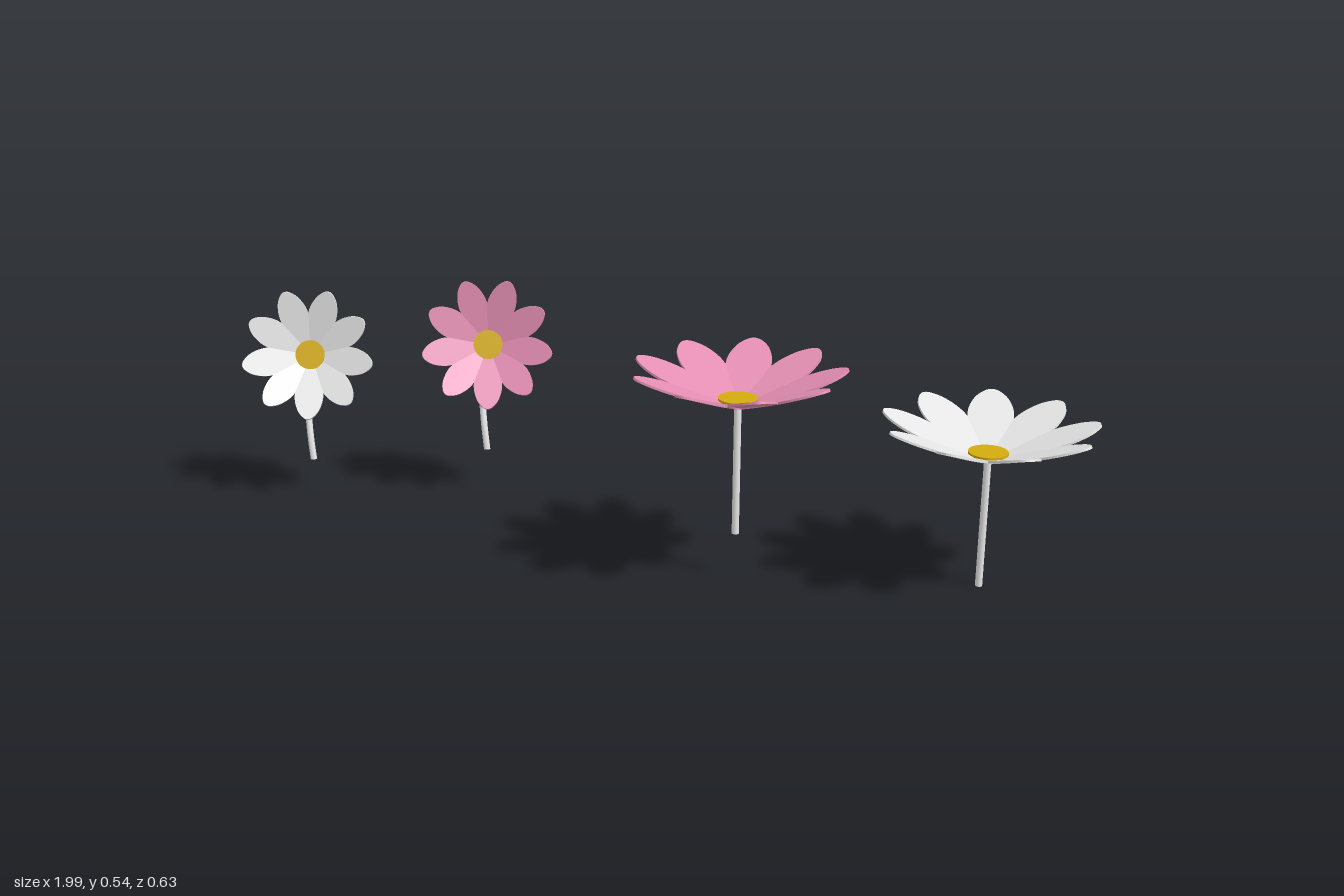
import * as THREE from 'three';

const white = new THREE.MeshStandardMaterial({ color: 0xe6e6e6 });
white.name = 'white';
const pink = new THREE.MeshStandardMaterial({ color: 0xe58fb4 });
pink.name = 'pink';
const yellow = new THREE.MeshStandardMaterial({ color: 0xd4ac0d });
yellow.name = 'yellow';

const PETALS = 9;
const PETAL_TILT = 0.36;
const STEM_RADIUS = 0.008;

function mesh(name, geometry, material) {
  const m = new THREE.Mesh(geometry, material);
  m.name = name;
  return m;
}

// Rounded petal along +x, widest towards the tip
function petalGeometry(scale) {
  const side = [[0.015, 0.014], [0.06, 0.032], [0.12, 0.046], [0.17, 0.05], [0.215, 0.038], [0.242, 0.018]];
  const lower = side.map(([x, y]) => new THREE.Vector2(x, -y));
  const upper = side.map(([x, y]) => new THREE.Vector2(x, y)).reverse();
  const shape = new THREE.Shape();
  shape.moveTo(0, 0);
  shape.splineThru([...lower, new THREE.Vector2(0.25, 0), ...upper, new THREE.Vector2(0, 0)]);
  const g = new THREE.ExtrudeGeometry(shape, { depth: 0.005, bevelEnabled: false, curveSegments: 32 });
  return g.scale(scale, scale, 1);
}

// Flower head opening along local +z
function flowerHead(material, petalScale, discScale, startAngle) {
  const head = new THREE.Group();
  head.name = 'flowerHead';
  const geometry = petalGeometry(petalScale);
  for (let i = 0; i < PETALS; i++) {
    const petal = mesh('petal', geometry, material);
    petal.rotation.set(0, -PETAL_TILT, startAngle + (i / PETALS) * Math.PI * 2, 'ZYX');
    head.add(petal);
  }
  const disc = mesh('flowerCentre', new THREE.CylinderGeometry(0.043, 0.043, 0.01, 32), yellow);
  disc.rotation.x = Math.PI / 2;
  disc.scale.setScalar(discScale);
  disc.position.z = 0.021 * discScale;
  head.add(disc);
  return head;
}

// Open flower on a straight stem
function uprightFlower(material, x, y, z) {
  const flower = new THREE.Group();
  flower.name = 'uprightFlower';
  const height = 0.292;
  const stem = mesh('straightStem', new THREE.CylinderGeometry(STEM_RADIUS, STEM_RADIUS, height, 16), white);
  stem.position.y = height / 2;
  const head = flowerHead(material, 1, 1, Math.PI);
  head.rotation.x = -Math.PI / 2;
  head.position.y = 0.287;
  flower.add(stem, head);
  flower.position.set(x, y, z);
  return flower;
}

// Smaller flower leaning forward on a curved stem
function leaningFlower(material, x, y, z) {
  const flower = new THREE.Group();
  flower.name = 'leaningFlower';
  const path = new THREE.CatmullRomCurve3([
    [0, 0, 0], [-0.008, 0.057, -0.005], [-0.017, 0.117, -0.016],
    [-0.022, 0.177, -0.026], [-0.016, 0.226, -0.026], [0.012, 0.272, -0.002],
  ].map((p) => new THREE.Vector3(...p)));
  const stem = mesh('curvedStem', new THREE.TubeGeometry(path, 32, STEM_RADIUS, 16), white);
  const cap = mesh('stemEnd', new THREE.CircleGeometry(STEM_RADIUS, 16), white);
  cap.quaternion.setFromUnitVectors(new THREE.Vector3(0, 0, 1), path.getTangent(0).negate());
  const head = flowerHead(material, 0.68, 0.82, -Math.PI / 2);
  const facing = new THREE.Vector3(0.38, 0.33, 0.864);
  head.quaternion.setFromRotationMatrix(
    new THREE.Matrix4().lookAt(facing, new THREE.Vector3(), new THREE.Vector3(0, 1, 0)));
  head.position.set(0.012, 0.272, -0.002);
  flower.add(stem, cap, head);
  flower.position.set(x, y, z);
  return flower;
}

export function createModel() {
  const model = new THREE.Group();
  model.name = 'flowers';
  model.add(
    uprightFlower(white, 0.773, 0, -0.085),
    uprightFlower(pink, 0.265, 0.11, 0.085),
    leaningFlower(white, -0.888, 0.083, -0.031),
    leaningFlower(pink, -0.49, 0.106, -0.203),
  );
  return model;
}
